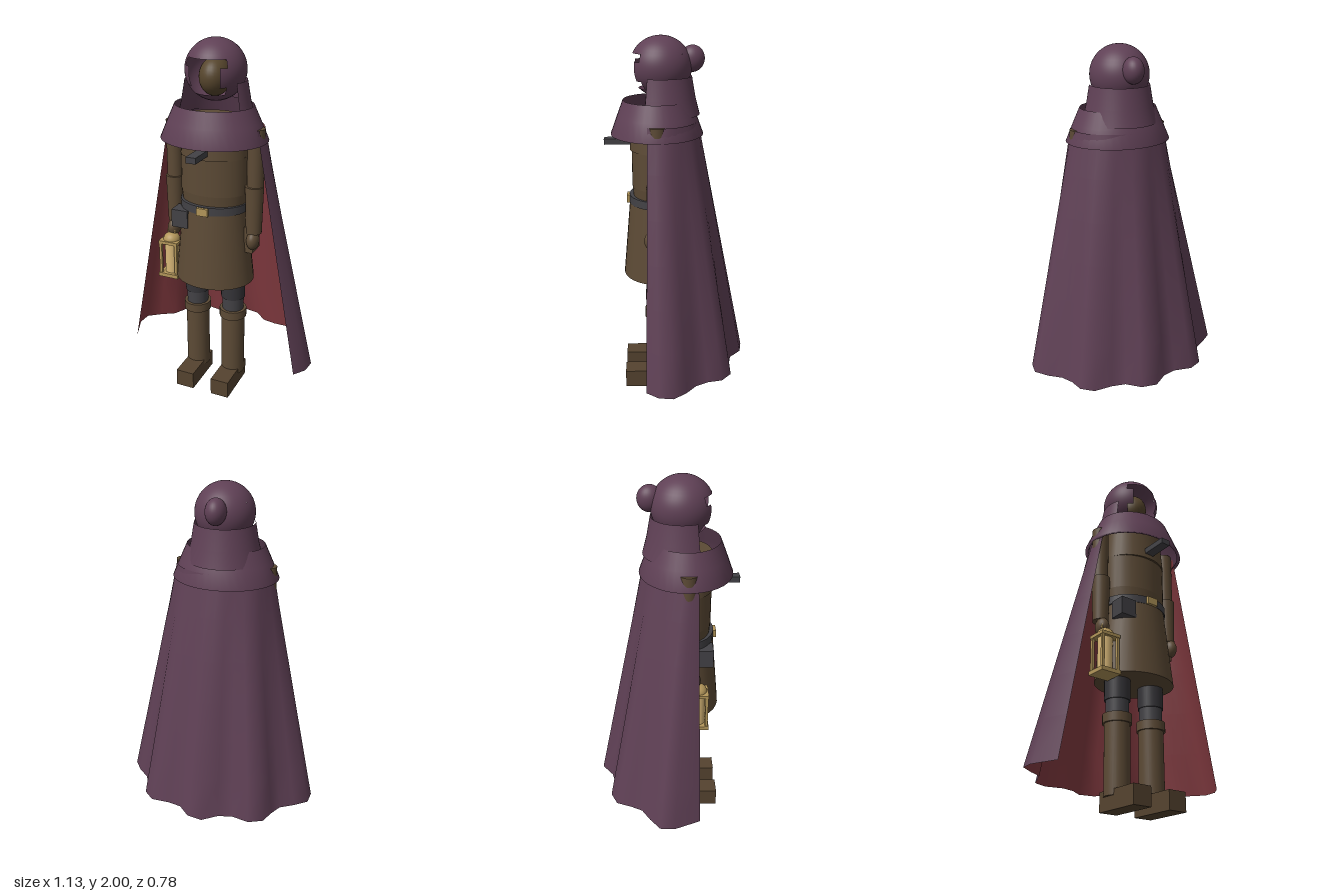
import * as THREE from 'three';

const mat = (name, color, side = THREE.FrontSide) =>
  Object.assign(new THREE.MeshStandardMaterial({ color, side }), { name });

export function createModel() {
  const purple = mat('purple cloth', 0x5f4055, THREE.DoubleSide);
  const cloak = mat('purple cloak', 0x5f4055);
  const red = mat('red lining', 0x833a40);
  const brown = mat('brown leather', 0x5c4a35);
  const footBrown = mat('shoe brown', 0x55432f);
  const skin = mat('shaded face', 0x57462d);
  const grey = mat('grey leather', 0x434246);
  const dark = mat('dark trousers', 0x353438);
  const gold = mat('brass', 0xb3965a);
  const glow = mat('lantern glass', 0xd9b878);

  const model = new THREE.Group();
  const body = new THREE.Group();
  body.name = 'figure';
  body.position.x = -0.007;
  model.add(body);
  const Z = 0.105; // depth of the body axis

  const add = (name, geo, material, x, y, z, parent = body) => {
    const m = new THREE.Mesh(geo, material);
    m.name = name;
    m.position.set(x, y, z);
    parent.add(m);
    return m;
  };
  const box = (name, material, w, h, d, x, y, z, parent) =>
    add(name, new THREE.BoxGeometry(w, h, d), material, x, y, z, parent);
  // Elliptical tube section between two heights
  const tube = (name, material, rTop, rBot, y0, y1, x = 0, z = Z, depth = 1) => {
    const g = new THREE.CylinderGeometry(rTop, rBot, y1 - y0, 32);
    g.scale(1, 1, depth);
    return add(name, g, material, x, (y0 + y1) / 2, z);
  };
  const ball = (name, material, rx, ry, rz, x, y, z) => {
    const g = new THREE.SphereGeometry(1, 28, 20);
    g.scale(rx, ry, rz);
    return add(name, g, material, x, y, z);
  };
  // Open turned cloth, profile from bottom to top
  const lathe = (name, profile, depth, z, start = 0, length = Math.PI * 2) => {
    const g = new THREE.LatheGeometry(profile.map(p => new THREE.Vector2(...p)), 40, start, length);
    g.scale(1, 1, depth);
    return add(name, g, purple, 0, 0, z);
  };

  // Hood: sphere bands, each with its own half-width of face opening
  const bands = [[0, 1.118, 0], [1.118, 1.382, 0.8], [1.382, 2.02, 0.56], [2.02, 2.33, 0.8], [2.33, Math.PI, 0]];
  for (const [t0, t1, gap] of bands) {
    const g = new THREE.SphereGeometry(0.16, 48, 8, Math.PI / 2 + gap, Math.PI * 2 - gap * 2, t0, t1 - t0);
    g.scale(1, 1, 1.03);
    add('hood', g, purple, 0, 1.84, 0.082);
  }
  ball('hoodTip', purple, 0.055, 0.07, 0.065, 0, 1.88, -0.085);
  ball('face', skin, 0.082, 0.1, 0.1, 0, 1.805, 0.09);
  lathe('hoodDrape', [[0.205, 1.59], [0.182, 1.68], [0.163, 1.79]], 1, 0.08, 1.1, Math.PI * 2 - 2.2);

  // Shoulder mantle
  lathe('mantle', [[0.272, 1.487], [0.293, 1.485], [0.252, 1.58], [0.213, 1.667]], 0.855, Z);

  // Coat
  tube('coatYoke', brown, 0.17, 0.187, 1.4, 1.6, 0, Z, 0.8);
  tube('coatTorso', brown, 0.188, 0.188, 1.2, 1.405, 0, Z, 0.74);
  tube('coatWaist', brown, 0.188, 0.178, 1.12, 1.2, 0, Z, 0.74);
  tube('coatSkirt', brown, 0.178, 0.225, 0.68, 1.12, 0, Z, 0.86);
  tube('belt', grey, 0.19, 0.19, 1.1, 1.145, 0, Z, 0.82);
  box('buckle', gold, 0.065, 0.042, 0.03, 0, 1.12, 0.26);
  box('beltPouch', grey, 0.095, 0.1, 0.09, -0.145, 1.05, 0.205);
  box('hipBag', brown, 0.05, 0.15, 0.11, 0.215, 0.945, 0.09);
  box('chestClasp', grey, 0.055, 0.032, 0.17, 0, 1.442, 0.308);

  for (const s of [-1, 1]) {
    // Arms
    tube('upperArm', brown, 0.046, 0.045, 1.22, 1.56, s * 0.236);
    tube('forearm', brown, 0.05, 0.043, 0.985, 1.25, s * 0.235, 0.115);
    ball('hand', brown, 0.035, 0.052, 0.045, s * 0.238, 0.945, 0.135);
    // Legs and boots
    const x = s * 0.112;
    tube('trouserLeg', dark, 0.07, 0.068, 0.565, 0.8, x);
    tube('knee', grey, 0.062, 0.06, 0.48, 0.57, x);
    tube('bootCuff', brown, 0.077, 0.077, 0.44, 0.49, x);
    tube('bootShaft', brown, 0.067, 0.067, 0.07, 0.445, x);
    box('shoe', footBrown, 0.107, 0.1, 0.27, s * 0.11, 0.05, 0.165);
  }

  // Lantern held in the right hand
  const lantern = new THREE.Group();
  lantern.name = 'lantern';
  lantern.position.set(-0.247, 0, 0.167);
  model.add(lantern);
  box('lanternBase', gold, 0.12, 0.022, 0.115, 0, 0.672, 0, lantern);
  box('lanternTop', gold, 0.115, 0.018, 0.11, 0, 0.873, 0, lantern);
  for (const x of [-0.047, 0.047])
    for (const z of [-0.045, 0.045]) box('lanternPost', gold, 0.015, 0.19, 0.015, x, 0.775, z, lantern);
  add('lanternGlass', new THREE.CylinderGeometry(0.04, 0.04, 0.185, 24), glow, 0, 0.775, 0, lantern);
  const dome = add('lanternDome', new THREE.SphereGeometry(0.048, 24, 10, 0, Math.PI * 2, 0, Math.PI / 2), gold, 0, 0.88, 0, lantern);
  dome.scale.y = 0.9;
  add('lanternRing', new THREE.TorusGeometry(0.022, 0.005, 8, 20), gold, 0, 0.93, 0, lantern);

  // Cloak: ruled from a half ellipse at the shoulders to a wavy hem
  const hem = [
    [-0.51, 0.175], [-0.568, 0.03], [-0.562, 0.05 - 0.1], [-0.49, -0.105], [-0.415, -0.15], [-0.38, -0.215],
    [-0.348, -0.295], [-0.27, -0.33], [-0.17, -0.31], [-0.09, -0.33], [-0.01, -0.39], [0.078, -0.375],
    [0.147, -0.31], [0.225, -0.295], [0.33, -0.295], [0.393, -0.24], [0.41, -0.16], [0.445, -0.095],
    [0.51, -0.04], [0.565, 0.03], [0.555, 0.11], [0.505, 0.175]];
  const rows = 6, n = hem.length;
  const cloakSurface = (inset, flip) => {
    const pos = [], index = [];
    for (let j = 0; j <= rows; j++) {
      const t = j / rows;
      hem.forEach(([hx, hz], i) => {
        const a = -0.26 + (i / (n - 1)) * (Math.PI + 0.52);
        const x = -0.262 * Math.cos(a), z = 0.1 - 0.217 * Math.sin(a);
        pos.push((x + (hx - x) * t) * (1 - inset), 1.56 - 1.38 * t, z + (hz - z) * t + inset * 0.3);
      });
    }
    for (let j = 0; j < rows; j++)
      for (let i = 0; i < n - 1; i++) {
        const a = j * n + i, b = a + 1, c = b + n, d = a + n;
        index.push(...(flip ? [a, c, b, a, d, c] : [a, b, c, a, c, d]));
      }
    const g = new THREE.BufferGeometry();
    g.setAttribute('position', new THREE.Float32BufferAttribute(pos, 3));
    g.setIndex(index);
    g.computeVertexNormals();
    return g;
  };
  add('cloakOutside', cloakSurface(0, false), cloak, 0, 0, 0, model);
  add('cloakLining', cloakSurface(0.006, true), red, 0, 0, 0, model);

  return model;
}
